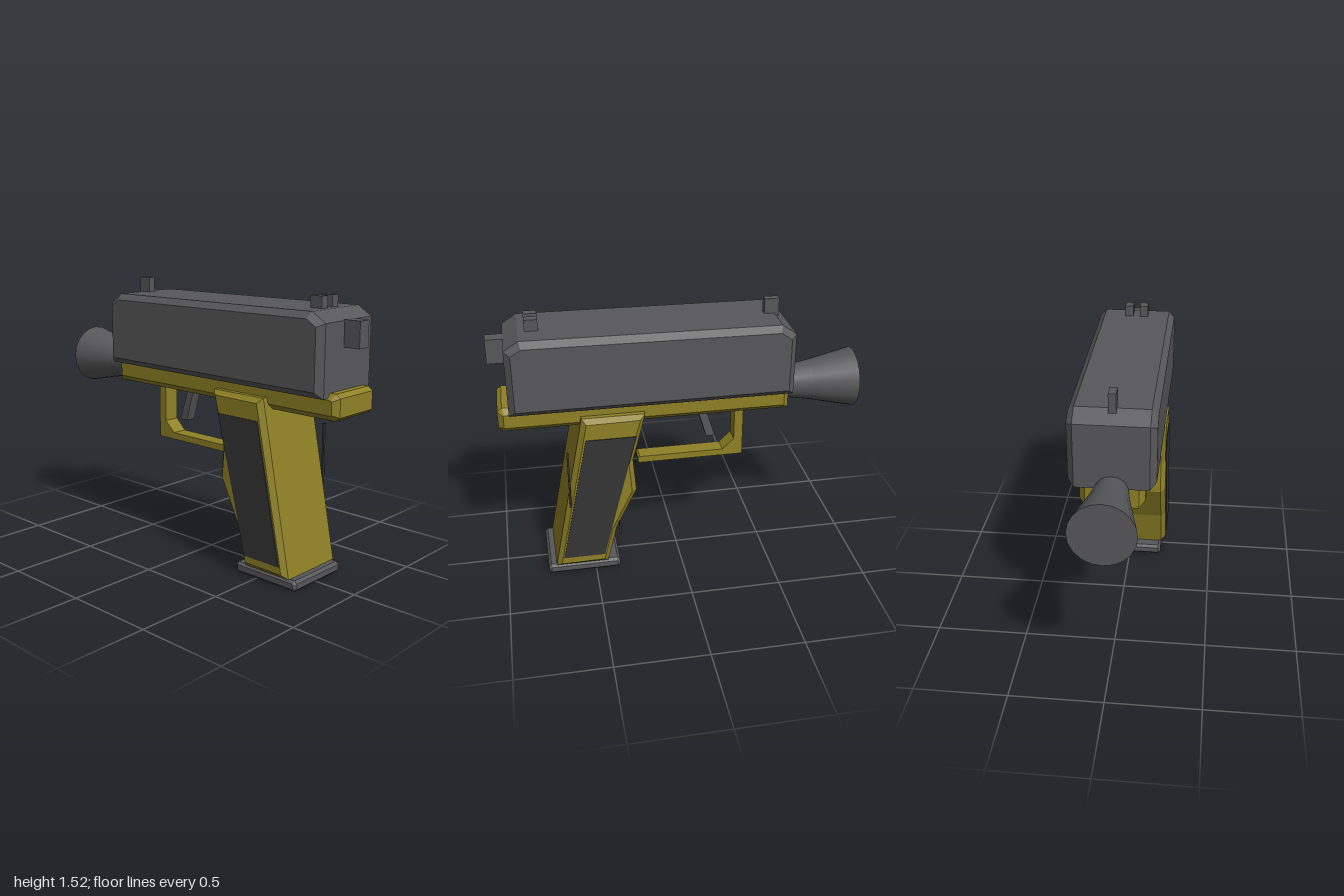
import * as THREE from 'three';

const olive = new THREE.MeshStandardMaterial({ color: 0x8f8126, name: 'olive' });
const steel = new THREE.MeshStandardMaterial({ color: 0x58585a, name: 'steel' });
const rubber = new THREE.MeshStandardMaterial({ color: 0x353535, name: 'rubber' });

// Side profile given as [z, y] points, extruded across x with a chamfer
function sidePlate(name, points, halfWidth, bevel, material, x = 0) {
  const shape = new THREE.Shape(points.map(([z, y]) => new THREE.Vector2(-z, y)));
  const depth = 2 * (halfWidth - bevel);
  const geo = new THREE.ExtrudeGeometry(shape, {
    depth, bevelEnabled: bevel > 0, bevelSegments: 1,
    bevelSize: bevel, bevelThickness: bevel, bevelOffset: -bevel,
  });
  geo.translate(0, 0, -depth / 2).rotateY(Math.PI / 2).translate(x, 0, 0);
  const mesh = new THREE.Mesh(geo, material);
  mesh.name = name;
  return mesh;
}

// Box from its minimum and maximum corners
function block(name, [x0, y0, z0], [x1, y1, z1], material) {
  const mesh = new THREE.Mesh(new THREE.BoxGeometry(x1 - x0, y1 - y0, z1 - z0), material);
  mesh.position.set((x0 + x1) / 2, (y0 + y1) / 2, (z0 + z1) / 2);
  mesh.name = name;
  return mesh;
}

export function createModel() {
  const model = new THREE.Group();
  model.name = 'pistol';

  // Upper slide with sloping ends
  model.add(sidePlate('slide', [
    [0.91, 1.035], [0.91, 1.4], [0.83, 1.45], [-0.53, 1.437], [-0.61, 1.38], [-0.61, 1.035],
  ], 0.222, 0.033, steel));

  // Frame rail under the slide
  model.add(sidePlate('frame', [
    [0.945, 0.925], [0.97, 0.945], [0.97, 1.04], [0.945, 1.06], [-0.6, 1.06], [-0.6, 0.925],
  ], 0.165, 0.03, olive));

  // Raked grip with a swell on its forward edge
  model.add(sidePlate('grip', [
    [0.54, 0.988], [0.2, 0.988], [0.272, 0.71], [0.257, 0.52], [0.375, 0.28], [0.43, 0.06], [0.725, 0.06],
  ], 0.22, 0.027, olive));

  // Grip panels, one on each side
  for (const side of [-1, 1]) {
    model.add(sidePlate('gripPanel', [
      [0.525, 0.87], [0.255, 0.87], [0.45, 0.125], [0.68, 0.125],
    ], 0.004, 0, rubber, side * 0.221));
  }

  // Magazine base
  model.add(sidePlate('magazineBase', [
    [0.77, 0.015], [0.77, 0.045], [0.755, 0.06], [0.375, 0.06],
    [0.36, 0.045], [0.36, 0.015], [0.375, 0], [0.755, 0],
  ], 0.195, 0.015, steel));

  // Trigger and its guard
  model.add(sidePlate('trigger', [
    [-0.105, 0.94], [-0.15, 0.94], [-0.218, 0.725], [-0.168, 0.725],
  ], 0.03, 0, steel));
  model.add(sidePlate('triggerGuard', [
    [0.215, 0.6], [0.225, 0.61], [0.225, 0.628], [0.215, 0.638], [-0.26, 0.638], [-0.325, 0.7],
    [-0.325, 0.94], [-0.375, 0.94], [-0.375, 0.6],
  ], 0.045, 0, olive));

  // Flared muzzle: smooth flanks with a flat closed end
  const muzzle = new THREE.Group();
  muzzle.name = 'muzzle';
  const sections = [[-0.5, 0.087, -0.6, 0.087], [-0.6, 0.087, -0.75, 0.112], [-0.75, 0.112, -1, 0.167]];
  sections.forEach(([z0, r0, z1, r1], i) => {
    const last = i === sections.length - 1;
    const geo = new THREE.CylinderGeometry(r0, r1, z0 - z1, 20, 1, !last);
    geo.rotateX(Math.PI / 2).translate(0, 1.016, (z0 + z1) / 2);
    const mesh = new THREE.Mesh(geo, steel);
    mesh.name = 'muzzleSection';
    muzzle.add(mesh);
  });
  model.add(muzzle);

  // Hammer block and sights
  model.add(block('hammer', [-0.038, 1.27, 0.88], [0.036, 1.405, 1], steel));
  model.add(block('frontSight', [-0.02, 1.4, -0.555], [0.02, 1.52, -0.475], steel));
  model.add(block('rearSight', [-0.068, 1.42, 0.725], [-0.021, 1.51, 0.795], steel));
  model.add(block('rearSight', [0.018, 1.42, 0.725], [0.065, 1.51, 0.795], steel));

  // Thin pins along the left edge of the grip
  model.add(block('rearPin', [0.205, 0.46, 0.62], [0.22, 0.8, 0.63], rubber));
  model.add(block('forwardPin', [0.205, 0.25, 0.352], [0.22, 0.33, 0.362], rubber));

  return model;
}
